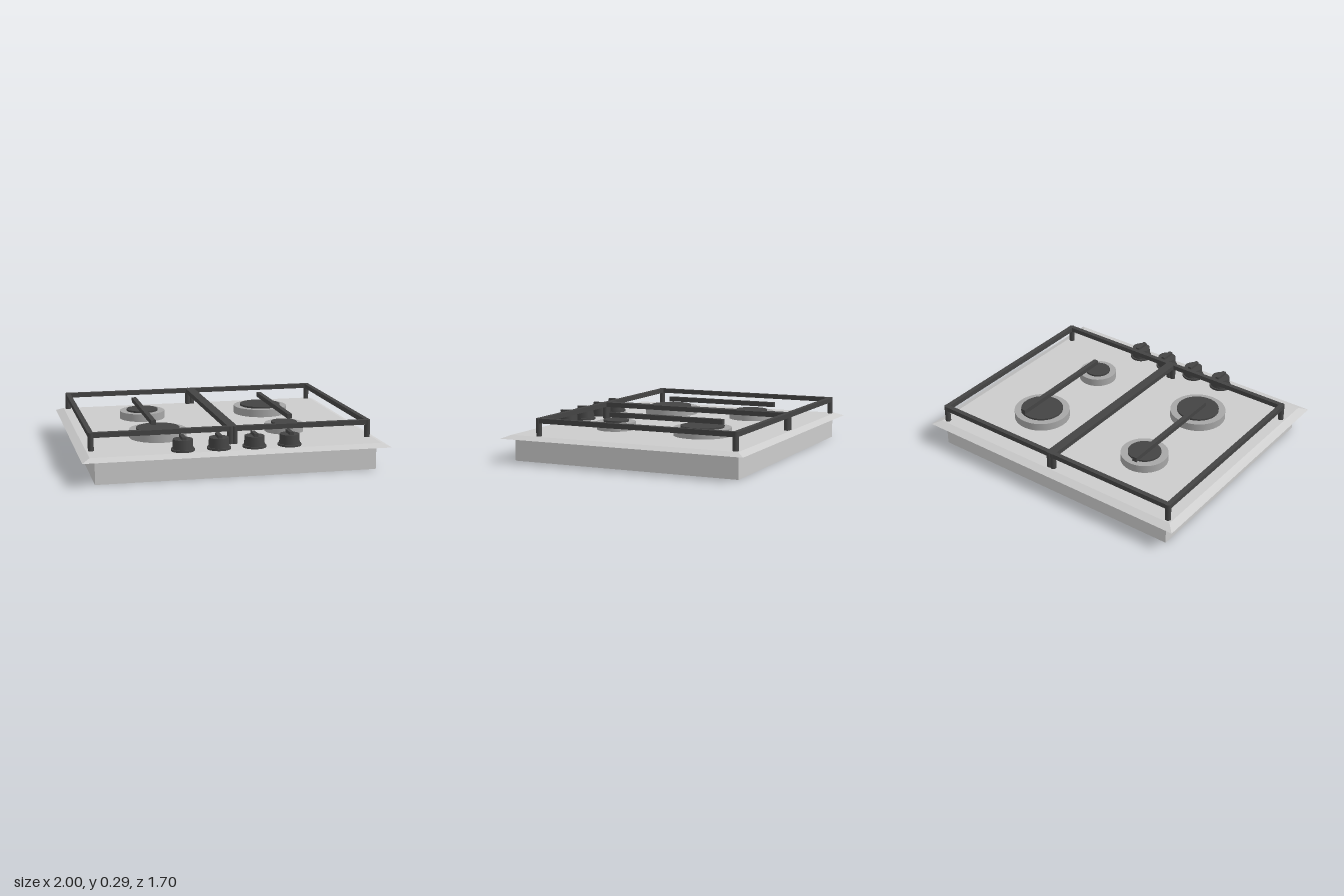
import * as THREE from 'three';

const steel = new THREE.MeshStandardMaterial({ color: 0xcccccc });
const ringMat = new THREE.MeshStandardMaterial({ color: 0xa6a6a6 });
const dark = new THREE.MeshStandardMaterial({ color: 0x444444 });

function add(parent, name, geometry, material, x, y, z) {
  const mesh = new THREE.Mesh(geometry, material);
  mesh.name = name;
  mesh.position.set(x, y, z);
  parent.add(mesh);
  return mesh;
}

// Upright cylinder standing between two heights
function disc(parent, name, rTop, rBottom, y0, y1, material, x, z, sides = 48) {
  const g = new THREE.CylinderGeometry(rTop, rBottom, y1 - y0, sides);
  return add(parent, name, g, material, x, (y0 + y1) / 2, z);
}

// Box whose top face is pulled in on all sides
function bevelledPlate(w, h, d, inset) {
  const g = new THREE.BoxGeometry(w, h, d);
  const p = g.attributes.position;
  for (let i = 0; i < p.count; i++) {
    if (p.getY(i) > 0) {
      p.setX(i, p.getX(i) - Math.sign(p.getX(i)) * inset);
      p.setZ(i, p.getZ(i) - Math.sign(p.getZ(i)) * inset);
    }
  }
  g.computeVertexNormals();
  return g;
}

const PLATE_TOP = 0.175;
const GRATE_TOP = 0.292;
const BAR = 0.032;

function createBurner(x, z, radius, capRadius) {
  const burner = new THREE.Group();
  burner.name = 'burner';
  disc(burner, 'burnerRing', radius, radius, PLATE_TOP - 0.005, 0.228, ringMat, x, z, 64);
  disc(burner, 'burnerCap', capRadius, capRadius, 0.22, 0.24, dark, x, z, 64);
  return burner;
}

function createKnob(x, z) {
  const knob = new THREE.Group();
  knob.name = 'knob';
  disc(knob, 'knobFlange', 0.076, 0.076, PLATE_TOP - 0.005, 0.188, dark, x, z);
  disc(knob, 'knobBody', 0.063, 0.067, 0.185, 0.25, dark, x, z);
  add(knob, 'knobGrip', new THREE.BoxGeometry(0.026, 0.03, 0.1), dark, x, 0.255, z);
  return knob;
}

// Rectangular pan support on four legs, with one bar over the burners
function createGrate(side) {
  const grate = new THREE.Group();
  grate.name = side > 0 ? 'leftGrate' : 'rightGrate';
  const xs = [0.015 * side, 0.917 * side];
  const zs = [-0.767, 0.604];
  const midX = (xs[0] + xs[1]) / 2;
  const midZ = (zs[0] + zs[1]) / 2;
  const y = GRATE_TOP - BAR / 2;
  for (const x of xs) {
    add(grate, 'grateSideBar', new THREE.BoxGeometry(BAR, BAR, zs[1] - zs[0]), dark, x, y, midZ);
    for (const z of zs) {
      disc(grate, 'grateLeg', 0.019, 0.019, PLATE_TOP - 0.005, GRATE_TOP, dark, x, z, 16);
    }
  }
  for (const z of zs) {
    add(grate, 'grateCrossBar', new THREE.BoxGeometry(Math.abs(xs[1] - xs[0]), BAR, BAR), dark, midX, y, z);
  }
  add(grate, 'burnerBar', new THREE.BoxGeometry(BAR, BAR, 0.82), dark, 0.467 * side, y, -0.088);
  return grate;
}

export function createModel() {
  const model = new THREE.Group();
  model.name = 'gasHob';

  // Sunken housing and top plate
  add(model, 'housing', new THREE.BoxGeometry(1.834, 0.155, 1.574), steel, 0, 0.0775, 0);
  add(model, 'topPlate', bevelledPlate(2, 0.022, 1.696, 0.052), steel, 0, 0.164, 0);

  // Four burners: x, z, ring radius, cap radius
  const burners = [
    [-0.434, -0.337, 0.158, 0.11],
    [0.434, -0.337, 0.19, 0.144],
    [-0.434, 0.297, 0.19, 0.144],
    [0.434, 0.297, 0.131, 0.087],
  ];
  for (const b of burners) model.add(createBurner(...b));

  for (const side of [-1, 1]) model.add(createGrate(side));

  // Row of control knobs along the front
  for (let i = 0; i < 4; i++) model.add(createKnob((i - 1.5) * 0.233, 0.72));

  return model;
}
